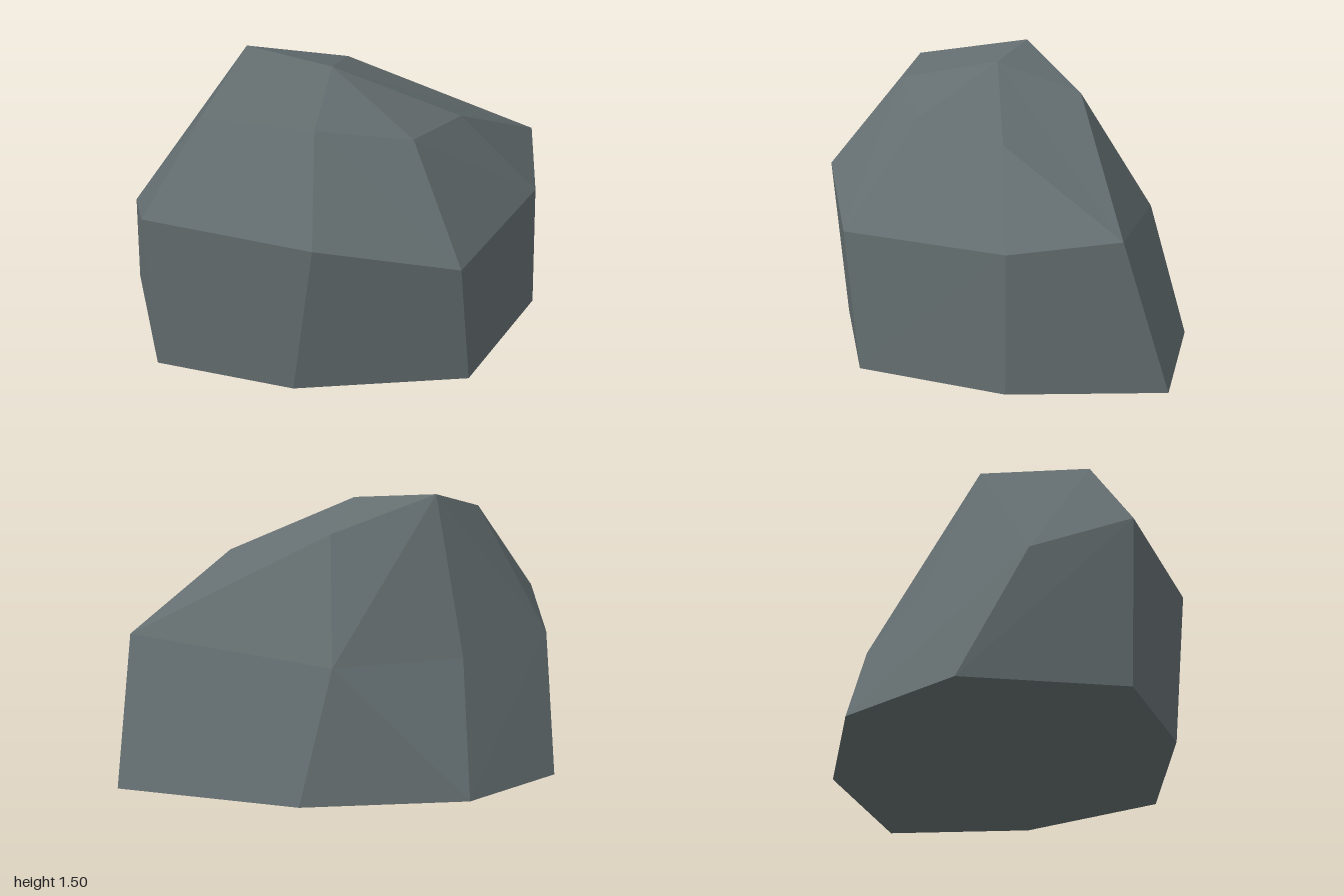
import * as THREE from 'three';

const stone = new THREE.MeshStandardMaterial({ color: 0x646e70 });
stone.name = 'slateGrey';

// Cross-sections from base to crown, each running from +x round through +z.
// Repeated points close a section down to fewer sides.
const base = [-0.07, 0, -0.13];
const shoulder = [0.92, 0.87, -0.6];
const peak = [-0.42, 1.5, -0.05];
const crown = [0, 1.47, 0.05];
const rings = [
  Array(8).fill(base),
  [[0.99, 0.17, -0.09], [0.73, 0.17, 0.61], [-0.07, 0.17, 0.81], [-0.74, 0.17, 0.7],
    [-1, 0.17, -0.03], [-0.69, 0.16, -0.6], [0.04, 0.155, -0.87], [0.92, 0.18, -0.81]],
  [[0.97, 0.81, -0.09], [0.68, 0.81, 0.68], [0.03, 0.96, 0.86], [-0.77, 0.98, 0.73],
    [-0.91, 0.81, 0.28], [-0.6, 0.765, -0.3], [-0.07, 0.76, -0.69], shoulder],
  [[0.6, 1.21, -0.04], [0.42, 1.29, 0.37], [-0.01, 1.38, 0.52], [-0.53, 1.4, 0.5],
    peak, peak, [0.02, 1.33, -0.35], shoulder],
  Array(8).fill(crown),
].map((ring) => ring.map((p) => new THREE.Vector3(...p)));

function rockGeometry() {
  const positions = [];
  const addTriangle = (...corners) => {
    const [a, b, c] = corners;
    if (a.equals(b) || b.equals(c) || c.equals(a)) return;
    corners.forEach((p) => positions.push(p.x, p.y, p.z));
  };

  for (let r = 0; r < rings.length - 1; r++) {
    for (let i = 0; i < 8; i++) {
      const j = (i + 1) % 8;
      const a = rings[r][i], b = rings[r][j];
      const c = rings[r + 1][i], d = rings[r + 1][j];
      // Split each facet along the diagonal that bulges outward
      const normal = c.clone().sub(a).cross(b.clone().sub(a));
      if (normal.dot(d.clone().sub(a)) < 0) {
        addTriangle(a, c, b);
        addTriangle(c, d, b);
      } else {
        addTriangle(a, c, d);
        addTriangle(a, d, b);
      }
    }
  }

  // Unshared corners give flat facets
  const geometry = new THREE.BufferGeometry();
  geometry.setAttribute('position', new THREE.Float32BufferAttribute(positions, 3));
  geometry.computeVertexNormals();
  return geometry;
}

export function createModel() {
  const model = new THREE.Group();
  model.name = 'boulder';
  const rock = new THREE.Mesh(rockGeometry(), stone);
  rock.name = 'rock';
  model.add(rock);
  return model;
}
